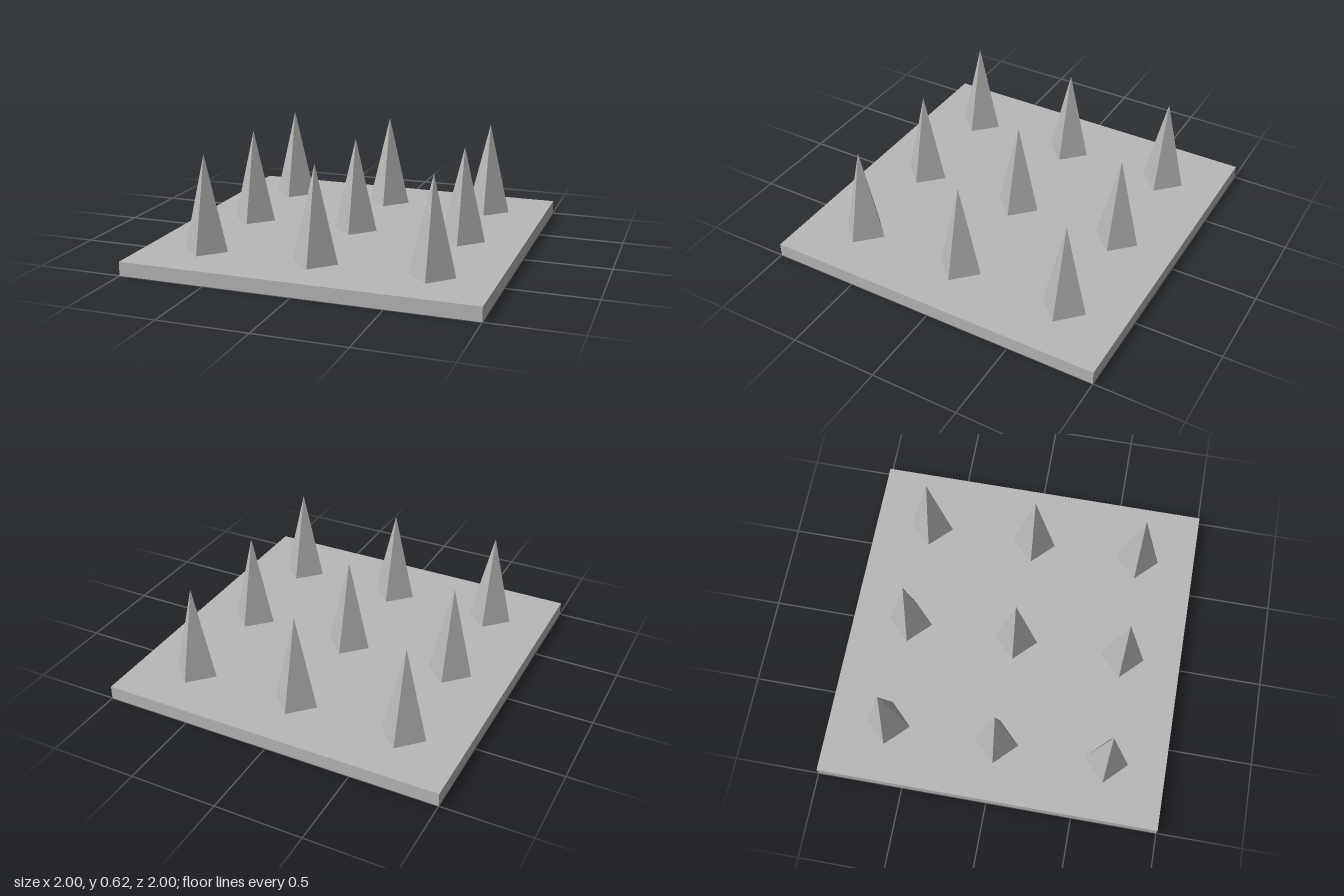
import * as THREE from 'three';

export function createModel() {
  const group = new THREE.Group();
  const stone = new THREE.MeshStandardMaterial({ color: 0xb8b8b8, flatShading: true });
  stone.name = 'grey';

  // Square base plate
  const thickness = 0.08;
  const plate = new THREE.Mesh(new THREE.BoxGeometry(2, thickness, 2), stone);
  plate.name = 'basePlate';
  plate.position.y = thickness / 2;
  group.add(plate);

  // Three by three grid of four-sided spikes, corners along the axes
  const height = 0.545, spacing = 0.65;
  const spikeGeometry = new THREE.ConeGeometry(0.13, height, 4);
  const spikes = new THREE.Group();
  spikes.name = 'spikes';
  for (let row = -1; row <= 1; row++) {
    for (let col = -1; col <= 1; col++) {
      const spike = new THREE.Mesh(spikeGeometry, stone);
      spike.name = 'spike';
      spike.position.set(col * spacing, thickness + height / 2, row * spacing);
      spikes.add(spike);
    }
  }
  group.add(spikes);
  return group;
}
